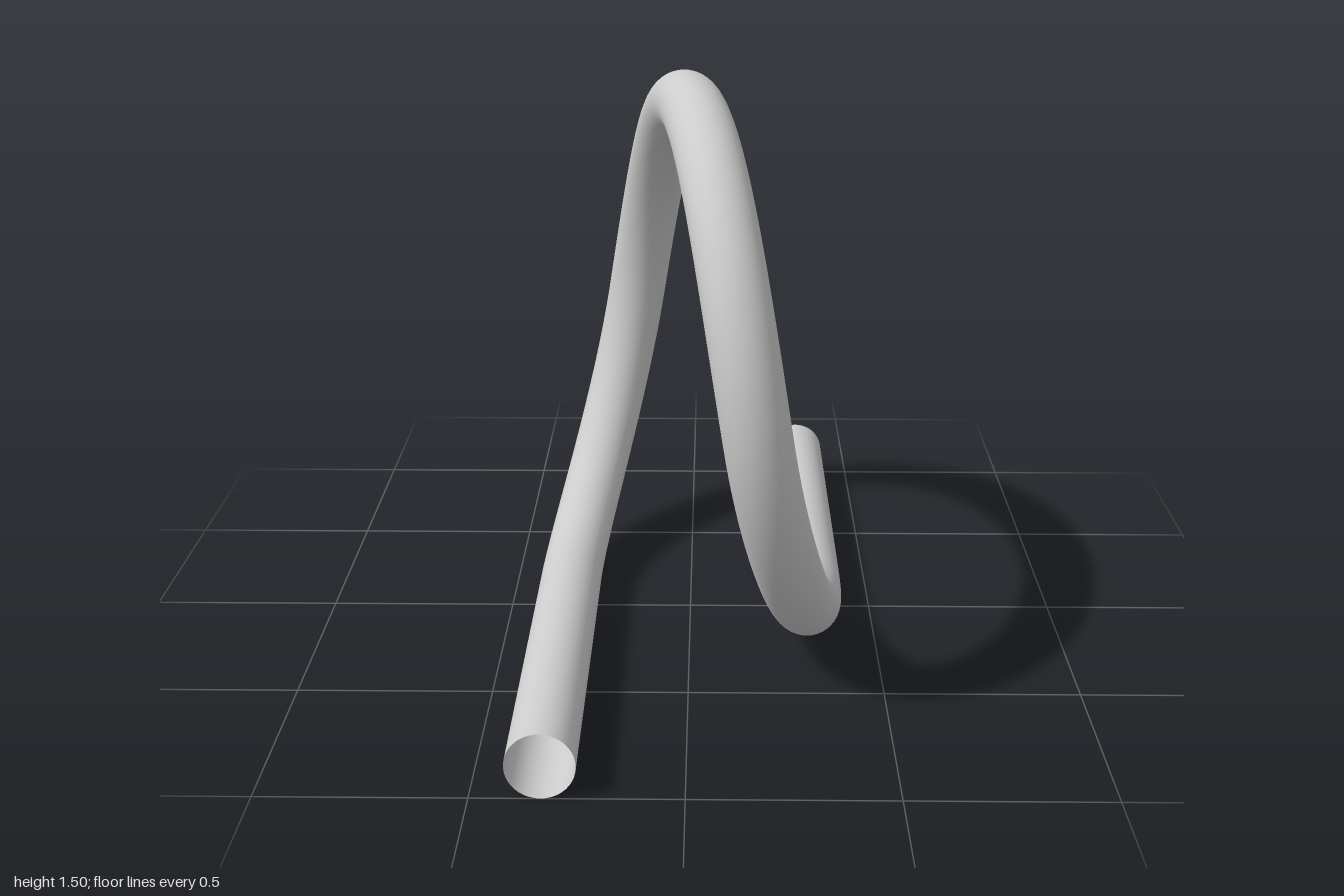
import * as THREE from 'three';

export function createModel() {
  const group = new THREE.Group();
  const r = 1 / 12;      // pipe radius
  const R = 2 / 3;       // loop radius
  const cy = r + R;      // loop centre height
  const k = 0.5523 * R;  // handle length of a quarter circle
  const s = 0.058;       // sideways drift of each handle
  const V = (x, y, z) => new THREE.Vector3(x, y, z);

  // Centreline knots with the handle leaving each one
  const knots = [
    [V(-1 / 3, r, 0), V(0, 0, -k)],
    [V(-1 / 6, cy, -R), V(s, k, 0)],
    [V(0, cy + R, 0), V(s, 0, k)],
    [V(1 / 6, cy, R), V(s, -k, 0)],
    [V(1 / 3, r, 0), V(0, 0, -k)],
  ];

  // Straight leg in, four quarter turns, straight leg out
  const path = new THREE.CurvePath();
  path.add(new THREE.LineCurve3(V(-1 / 3, r, 1), knots[0][0]));
  for (let i = 0; i < 4; i++) {
    const [a, ha] = knots[i];
    const [b, hb] = knots[i + 1];
    path.add(new THREE.CubicBezierCurve3(a, a.clone().add(ha), b.clone().sub(hb), b));
  }
  path.add(new THREE.LineCurve3(knots[4][0], V(1 / 3, r, -1)));

  // Open-ended looped pipe
  const pipe = new THREE.Mesh(
    new THREE.TubeGeometry(path, 240, r, 40, false),
    new THREE.MeshStandardMaterial({ color: 0xcccccc, side: THREE.DoubleSide })
  );
  pipe.name = 'loopedPipe';
  group.add(pipe);
  return group;
}
